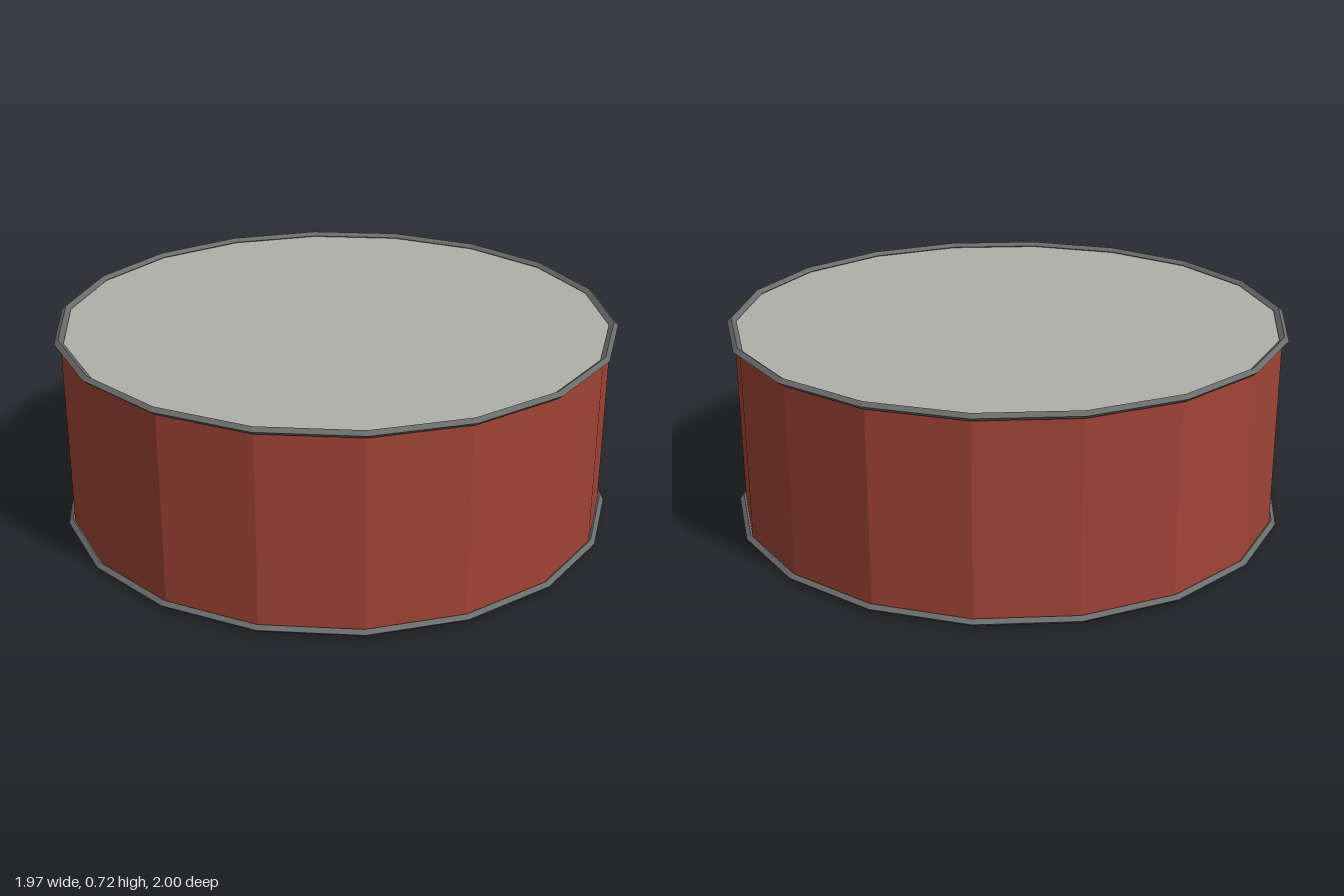
import * as THREE from 'three';

const SIDES = 18;
const HEIGHT = 0.72;
const BODY_RADIUS = 0.978;

export function createModel() {
  const flat = (name, color) => {
    const m = new THREE.MeshStandardMaterial({ color, flatShading: true });
    m.name = name;
    return m;
  };
  const red = flat('red paint', 0xa04436);
  const steel = flat('dark steel', 0x6b6b6b);
  const pale = flat('pale lid', 0xb0afaa);

  const group = new THREE.Group();
  group.name = 'tin';
  const add = (name, geometry, material) => {
    const mesh = new THREE.Mesh(geometry, material);
    mesh.name = name;
    group.add(mesh);
  };
  const lathe = (pts) =>
    new THREE.LatheGeometry(pts.map(([r, y]) => new THREE.Vector2(r, y)), SIDES);
  const disc = (radius, y, facing) =>
    new THREE.CircleGeometry(radius, SIDES, Math.PI / 2)
      .rotateX(-facing * Math.PI / 2)
      .translate(0, y, 0);

  // Side wall
  add('body', new THREE.CylinderGeometry(BODY_RADIUS, BODY_RADIUS, HEIGHT - 0.03, SIDES, 1, true)
    .translate(0, HEIGHT / 2, 0), red);

  // Diamond-section rims at both ends
  const rim = (y) => lathe([
    [0.985, y - 0.013], [1, y], [0.985, y + 0.013], [0.967, y], [0.985, y - 0.013],
  ]);
  add('bottomRim', rim(0.013), steel);
  add('topRim', rim(HEIGHT - 0.013), steel);

  // Recessed lid and flush base
  add('lid', disc(0.972, HEIGHT - 0.017, 1), pale);
  add('base', disc(0.985, 0, -1), steel);

  return group;
}
